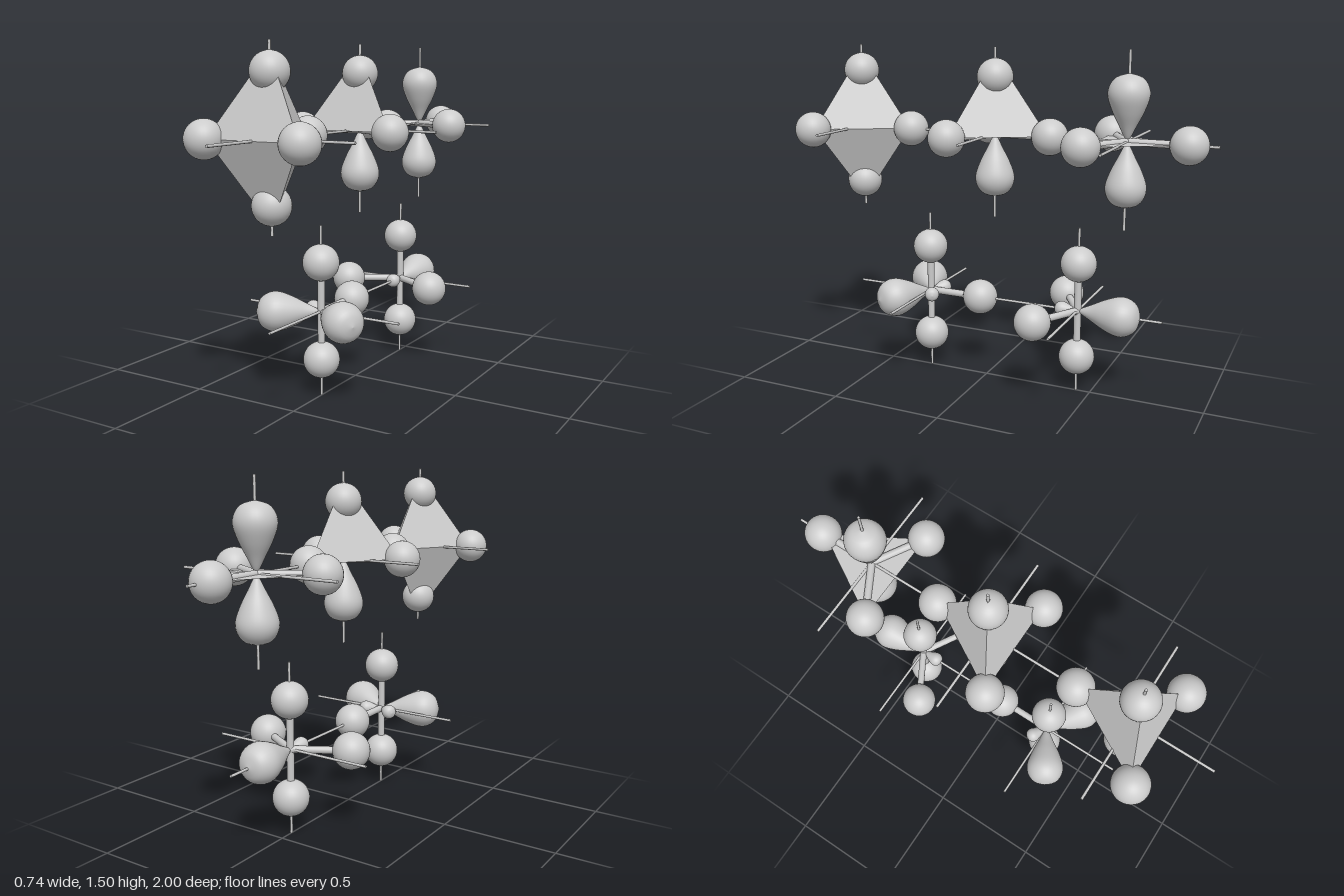
import * as THREE from 'three';

const UP = new THREE.Vector3(0, 1, 0);
const S = Math.sqrt(3) / 2;
// Bond directions: two axial, three equatorial
const DIR = {
  top: new THREE.Vector3(0, 1, 0),
  bottom: new THREE.Vector3(0, -1, 0),
  back: new THREE.Vector3(0, 0, -1),
  left: new THREE.Vector3(S, 0, 0.5),
  right: new THREE.Vector3(-S, 0, 0.5),
};
const EQ = 0.253;
const AXIS = 0.372;

const smooth = new THREE.MeshStandardMaterial({ color: 0xcccccc });
const flat = new THREE.MeshStandardMaterial({ color: 0xcccccc, flatShading: true, side: THREE.DoubleSide });

const atomGeo = new THREE.SphereGeometry(0.079, 32, 20);
const axisGeo = new THREE.CylinderGeometry(0.006, 0.006, AXIS * 2, 8);

// Teardrop lobe profile, tip at the origin
const profile = new THREE.SplineCurve([
  [0, 0], [0.014, 0.02], [0.036, 0.065], [0.064, 0.12], [0.085, 0.18],
  [0.08, 0.225], [0.052, 0.261], [0, 0.277],
].map(([r, h]) => new THREE.Vector2(r, h))).getPoints(28);
profile.forEach((p) => { p.x = Math.max(p.x, 0); });
const lobeGeo = new THREE.LatheGeometry(profile, 32);

function add(parent, geo, name, mat = smooth) {
  const mesh = new THREE.Mesh(geo, mat);
  mesh.name = name;
  parent.add(mesh);
  return mesh;
}

// Ball on a stick from the centre
function addAtom(parent, site, distance) {
  const dir = DIR[site];
  const bond = add(parent, new THREE.CylinderGeometry(0.016, 0.016, distance, 16), site + 'Bond');
  bond.quaternion.setFromUnitVectors(UP, dir);
  bond.position.copy(dir).multiplyScalar(distance / 2);
  add(parent, atomGeo, site + 'Atom').position.copy(dir).multiplyScalar(distance);
}

// Large lobe with its small counterpart on the opposite side
function addLobe(parent, site) {
  const dir = DIR[site];
  add(parent, lobeGeo, site + 'Lobe').quaternion.setFromUnitVectors(UP, dir);
  const small = add(parent, lobeGeo, site + 'SmallLobe');
  small.quaternion.setFromUnitVectors(UP, dir.clone().negate());
  small.scale.setScalar(0.38);
}

// Three-sided pyramid on the equatorial plane
function addPyramid(parent, down, open) {
  const h = 0.337;
  const geo = new THREE.ConeGeometry(0.246, h, 3, 1, open, Math.PI);
  geo.translate(0, h / 2, 0);
  if (down) geo.rotateZ(Math.PI);
  add(parent, geo, down ? 'lowerPyramid' : 'upperPyramid', flat);
}

function addAxes(parent) {
  add(parent, axisGeo, 'verticalAxis');
  add(parent, axisGeo, 'sideAxis').rotation.z = Math.PI / 2;
  add(parent, axisGeo, 'depthAxis').rotation.x = Math.PI / 2;
}

// Each molecule: centre, axial bond length, lobe sites, and its solid
const MOLECULES = [
  { name: 'bipyramidMolecule', y: 1.125, z: 0.628, axial: 0.254, lobes: [], solid: 'bipyramid' },
  { name: 'pyramidMolecule', y: 1.125, z: -0.04, axial: 0.245, lobes: ['bottom'], solid: 'pyramid' },
  { name: 'planarMolecule', y: 1.125, z: -0.628, axial: 0.25, lobes: ['top', 'bottom'], solid: 'triangle' },
  { name: 'bentMolecule', y: 0.372, z: 0.285, axial: 0.212, lobes: ['left', 'right'] },
  { name: 'seesawMolecule', y: 0.372, z: -0.435, axial: 0.212, lobes: ['back'] },
];

export function createModel() {
  const model = new THREE.Group();
  model.name = 'moleculeSet';
  for (const m of MOLECULES) {
    const g = new THREE.Group();
    g.name = m.name;
    g.position.set(0, m.y, m.z);
    addAxes(g);
    for (const site of Object.keys(DIR)) {
      if (m.lobes.includes(site)) addLobe(g, site);
      else addAtom(g, site, DIR[site].y ? m.axial : EQ);
    }
    if (m.solid === 'bipyramid') {
      addPyramid(g, false, true);
      addPyramid(g, true, true);
    } else if (m.solid === 'pyramid') {
      addPyramid(g, false, false);
    } else if (m.solid === 'triangle') {
      const tri = new THREE.CircleGeometry(0.246, 3, Math.PI / 2);
      tri.rotateX(-Math.PI / 2);
      add(g, tri, 'trianglePlane', flat);
    }
    model.add(g);
  }
  return model;
}
